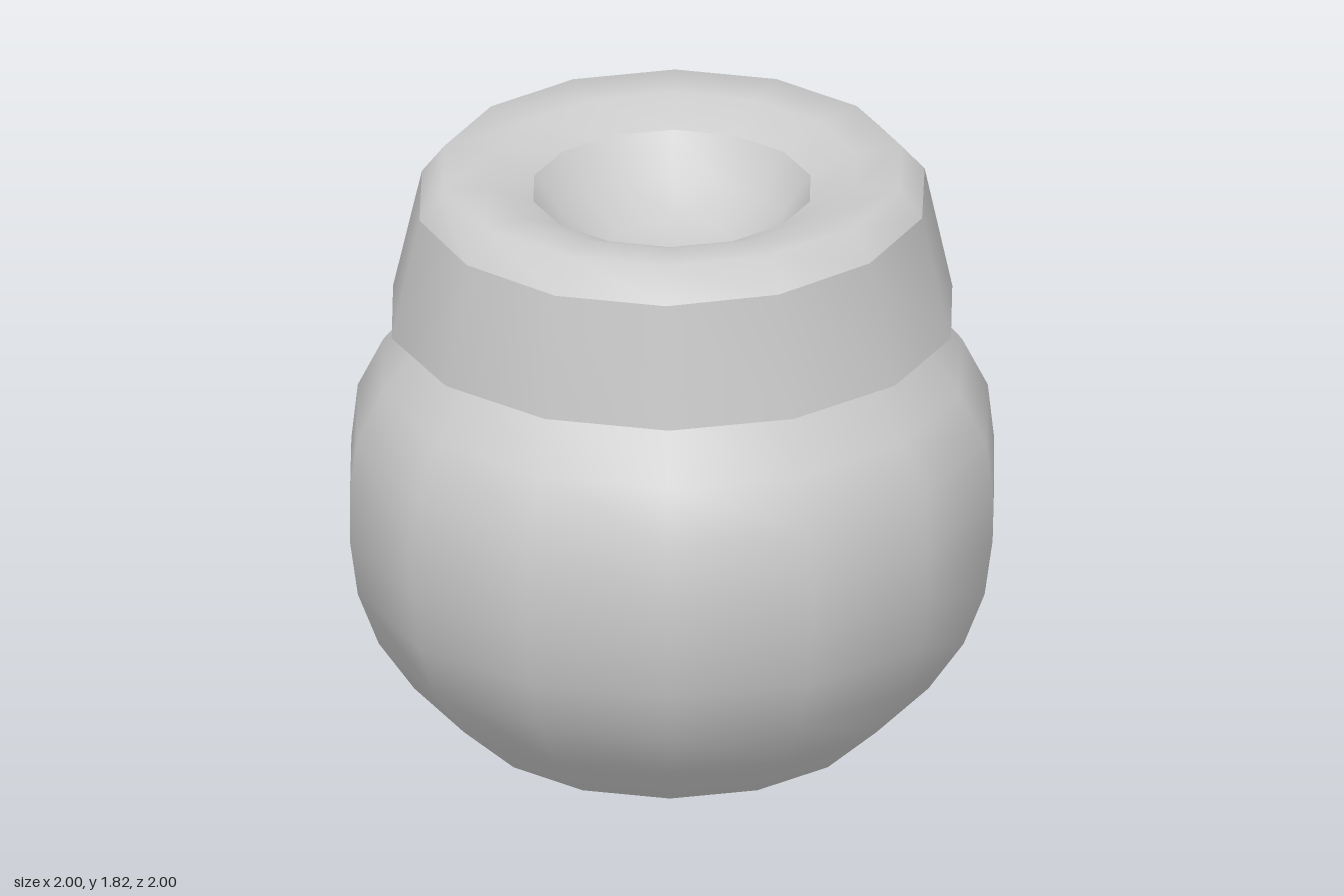
import * as THREE from 'three';
import { mergeVertices } from 'three/addons/utils/BufferGeometryUtils.js';

const SIDES = 14;
const material = new THREE.MeshStandardMaterial({ color: 0xcccccc });

// Smooth 14-sided turned surface; each ring is [radius, y, depth stretch along z]
function turned(name, rings) {
  const points = rings.map(([r, y]) => new THREE.Vector2(r, y));
  const lathe = new THREE.LatheGeometry(points, SIDES, Math.PI / 2);
  const pos = lathe.attributes.position;
  for (let i = 0; i < pos.count; i++) {
    pos.setZ(i, pos.getZ(i) * (rings[i % rings.length][2] ?? 1.025));
  }
  // Weld the seam so the shading runs smoothly all the way round
  lathe.deleteAttribute('uv');
  lathe.deleteAttribute('normal');
  const geometry = mergeVertices(lathe, 1e-4);
  geometry.computeVertexNormals();
  const mesh = new THREE.Mesh(geometry, material);
  mesh.name = name;
  return mesh;
}

export function createModel() {
  const jar = new THREE.Group();
  jar.name = 'jar';

  // Rounded pot with a flat base
  const pot = new THREE.Group();
  pot.name = 'pot';
  pot.add(
    turned('base', [[0, 0], [0.61, 0]]),
    turned('body', [
      [0.61, 0], [0.8, 0.17], [0.91, 0.33], [0.975, 0.5], [1, 0.68],
      [1, 0.82], [0.98, 1], [0.9, 1.16], [0.77, 1.32],
    ]),
  );

  // Tapered collar that overhangs the pot
  const collar = new THREE.Group();
  collar.name = 'collar';
  collar.add(
    turned('collarUnderside', [[0.74, 1.315], [0.87, 1.34]]),
    turned('collarWall', [[0.87, 1.34], [0.78, 1.73, 1.078]]),
    // Bevelled rim rolling inwards to the hollow
    turned('rim', [
      [0.78, 1.73, 1.078], [0.71, 1.82, 1.035], [0.57, 1.81], [0.43, 1.75],
    ]),
    // Shallow bowl sunk in the top
    turned('hollow', [[0.43, 1.75], [0.34, 1.63], [0.2, 1.55], [0, 1.52]]),
  );

  jar.add(pot, collar);
  return jar;
}
